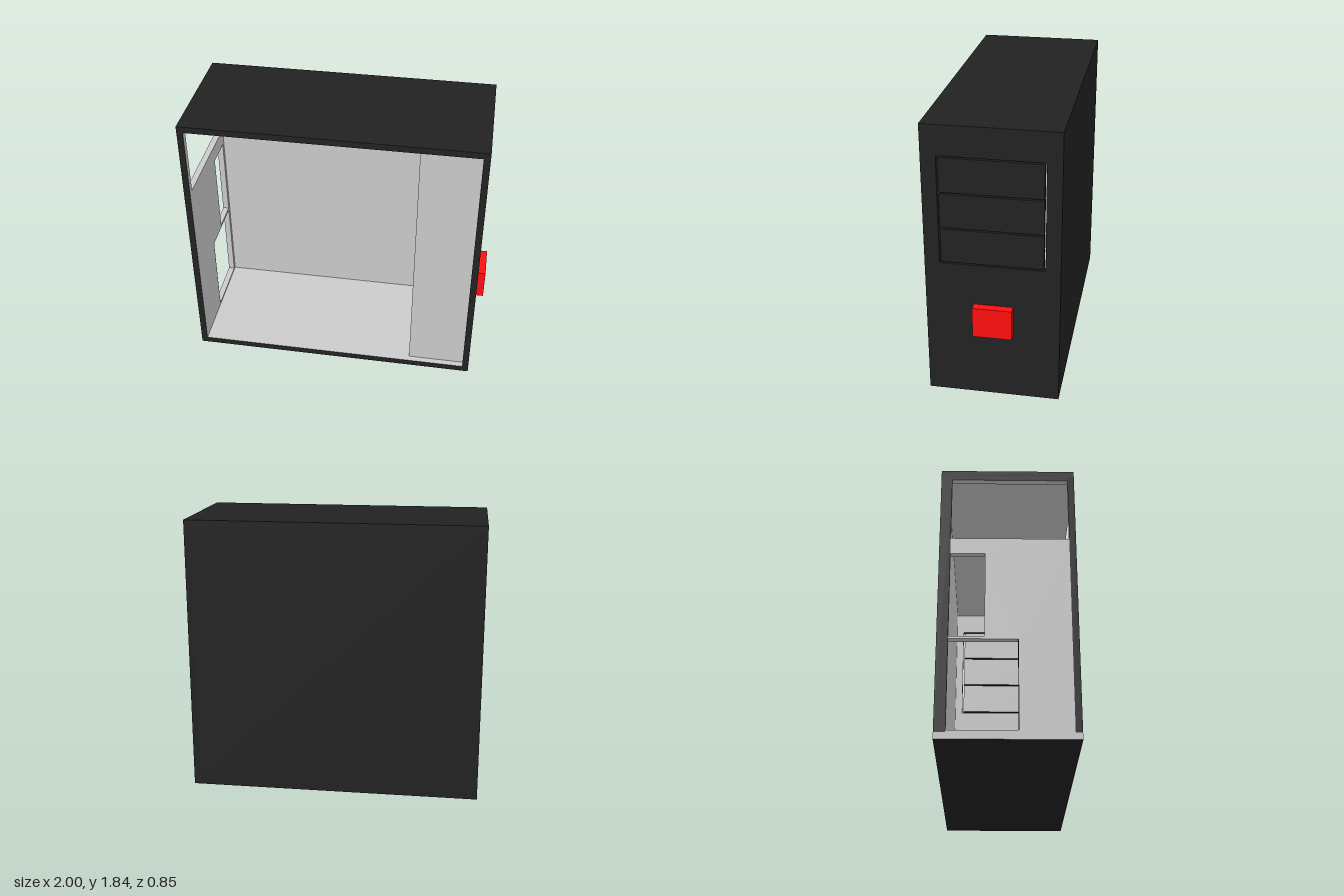
import * as THREE from 'three';

const grey = new THREE.MeshStandardMaterial({ color: 0xcccccc });
const dark = new THREE.MeshStandardMaterial({ color: 0x222222 });
const red = new THREE.MeshStandardMaterial({ color: 0xff0f0f });
const FACES = ['+x', '-x', '+y', '-y', '+z', '-z'];

// Box from its limits; the listed faces are painted dark, the rest stay bare grey
function panel(name, [x0, x1], [y0, y1], [z0, z1], painted) {
  const geo = new THREE.BoxGeometry(x1 - x0, y1 - y0, z1 - z0);
  const mats = painted instanceof THREE.Material
    ? painted
    : FACES.map(f => (painted.includes(f) ? dark : grey));
  const mesh = new THREE.Mesh(geo, mats);
  mesh.name = name;
  mesh.position.set((x0 + x1) / 2, (y0 + y1) / 2, (z0 + z1) / 2);
  return mesh;
}

export function createModel() {
  const group = new THREE.Group();
  group.name = 'computerCase';

  const L = -1, R = 0.945, H = 1.84, D = 0.425, T = 0.042;
  const xIn = [L + T, R - T], yIn = [T, H - T], zIn = D - T;
  const postZ = -0.355, headY = 1.77;

  // Outer shell: painted outside, bare inside
  group.add(
    panel('topPanel', [L, R], [H - T, H], [-D, D], ['+x', '-x', '+y', '+z', '-z']),
    panel('bottomPanel', [L, R], [0, T], [-D, D], ['+x', '-y', '+z', '-z']),
    panel('sidePanel', xIn, yIn, [-D, -zIn], ['-z'])
  );

  // Bay wall: four strips around the drive bay opening
  const wallX = [R - T, R];
  const bayY = [0.935, 1.645], bayZ = 0.33;
  const out = ['+x', '+z', '-z', '+y', '-y'];
  group.add(
    panel('bayWallLower', wallX, [T, bayY[0]], [-D, D], out),
    panel('bayWallUpper', wallX, [bayY[1], H - T], [-D, D], out),
    panel('bayWallFrontPost', wallX, bayY, [bayZ, D], out),
    panel('bayWallBackPost', wallX, bayY, [-D, -bayZ], out)
  );

  // Drive bay covers separated by narrow gaps
  const gap = 0.01, pitch = (bayY[1] - bayY[0] - gap) / 3;
  for (let i = 0; i < 3; i++) {
    const y = bayY[0] + gap + i * pitch;
    group.add(panel('driveBayCover', wallX, [y, y + pitch - gap],
      [-bayZ + gap, bayZ - gap], out));
  }

  // Upright plate that screens the drive bays
  group.add(panel('driveBayScreen', [0.52, R - T], yIn, [zIn - T, zIn], []));

  // Power button
  group.add(panel('powerButton', [R, 1], [0.455, 0.66], [-0.13, 0.12], red));

  // Frame of the connector wall
  const rearX = [L, L + T];
  group.add(
    panel('rearFrontPost', rearX, yIn, [zIn, D], ['-x', '+z']),
    panel('rearBackPost', rearX, yIn, [-D, postZ], ['-x', '-z']),
    panel('rearHeader', rearX, [headY, H - T], [postZ, zIn], ['-x'])
  );

  // Connector wall, notched for the slots and the power supply
  const portZ = -0.14, portY = [0.65, 1.22];
  const supplyZ = 0.065, supplyY = [0.055, 0.632];
  const outline = [
    [zIn, T], [zIn, 1.33], [postZ, 1.33],
    [postZ, portY[1]], [portZ, portY[1]], [portZ, portY[0]], [postZ, portY[0]],
    [postZ, supplyY[1]], [supplyZ, supplyY[1]], [supplyZ, supplyY[0]], [postZ, supplyY[0]],
    [postZ, T]
  ];
  // Shape x runs along -z so that the extrusion runs along +x
  const shape = new THREE.Shape(outline.map(([z, y]) => new THREE.Vector2(-z, y)));
  const geo = new THREE.ExtrudeGeometry(shape, { depth: T, bevelEnabled: false });
  geo.rotateY(Math.PI / 2);
  geo.translate(L, 0, 0);
  const rear = new THREE.Mesh(geo, grey);
  rear.name = 'connectorWall';
  group.add(rear);

  // Dark trim on the jamb of the power supply opening
  group.add(panel('powerSupplyTrim', rearX, supplyY, [supplyZ - 0.004, supplyZ], dark));

  return group;
}
